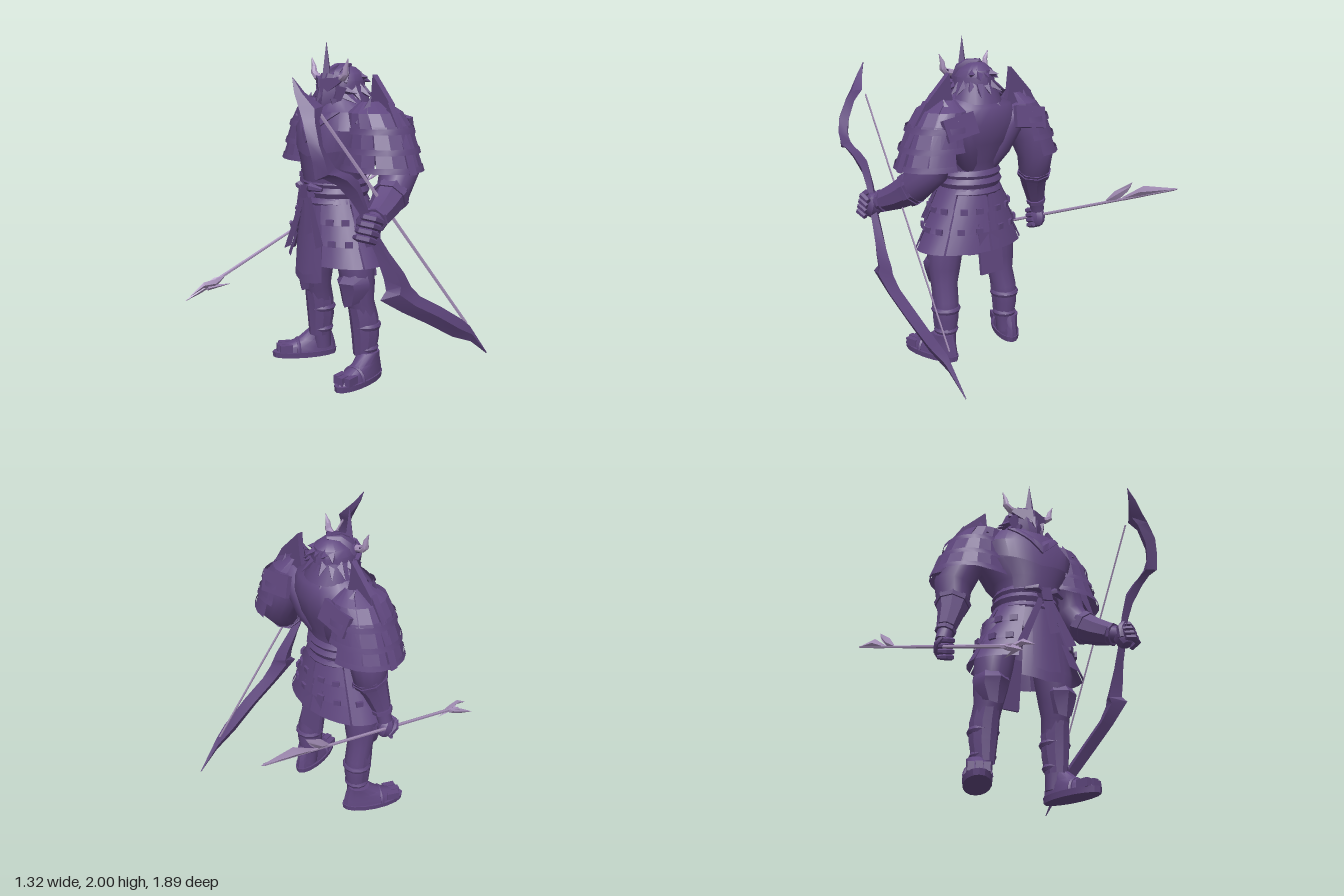
import * as THREE from 'three';
import { toCreasedNormals } from 'three/addons/utils/BufferGeometryUtils.js';

const V = (x, y, z) => new THREE.Vector3(x, y, z);
const D = Math.PI / 180;

export function createModel() {
  const purple = new THREE.MeshStandardMaterial({ color: 0x60477f, side: THREE.DoubleSide });
  const lilac = new THREE.MeshStandardMaterial({ color: 0xa892bb, side: THREE.DoubleSide });
  const root = new THREE.Group();

  function group(name, parent = root) {
    const g = new THREE.Group();
    g.name = name;
    parent.add(g);
    return g;
  }
  function add(parent, name, geo, mat = purple, crease = 0.55) {
    const m = new THREE.Mesh(toCreasedNormals(geo, crease), mat);
    m.name = name;
    parent.add(m);
    return m;
  }
  // Skin over rings of points; closed skins wrap round and get end caps.
  function skin(rings, closed = true) {
    const n = rings[0].length, pos = [], idx = [];
    rings.flat().forEach(p => pos.push(p.x, p.y, p.z));
    const wrap = closed ? n : n - 1;
    for (let i = 0; i < rings.length - 1; i++) for (let j = 0; j < wrap; j++) {
      const a = i * n + j, b = i * n + (j + 1) % n;
      idx.push(a, b, b + n, a, b + n, a + n);
    }
    if (closed) for (let j = 1; j < n - 1; j++) {
      const k = (rings.length - 1) * n;
      idx.push(0, j + 1, j, k, k + j, k + j + 1);
    }
    const g = new THREE.BufferGeometry();
    g.setAttribute('position', new THREE.Float32BufferAttribute(pos, 3));
    g.setIndex(idx);
    g.computeVertexNormals();
    return g;
  }
  // Horizontal ellipses [y, rx, rz, cz, cx], bottom to top; drop lowers the middle of the bottom edge.
  function stack(rows, n = 18, a0 = 0, a1 = 360, drop = 0) {
    const closed = a1 - a0 >= 360;
    return skin(rows.map(([y, rx, rz, cz = 0, cx = 0], i) =>
      Array.from({ length: closed ? n : n + 1 }, (_, j) => {
        const a = (a0 + (a1 - a0) * j / n) * D;
        const dy = i ? 0 : drop * (1 - Math.abs(2 * j / n - 1));
        return V(cx + rx * Math.sin(a), y - dy, cz + rz * Math.cos(a));
      })), closed);
  }
  // Round limb through points [x, y, z, radius].
  function limb(pts, n = 10) {
    const p = pts.map(q => V(q[0], q[1], q[2])), ref = V(0.3, 0, 1);
    return skin(p.map((c, i) => {
      const t = p[Math.min(i + 1, p.length - 1)].clone().sub(p[Math.max(i - 1, 0)]).normalize();
      const u = ref.clone().cross(t).normalize(), v = t.clone().cross(u);
      return Array.from({ length: n }, (_, j) => {
        const a = j / n * 2 * Math.PI, r = pts[i][3];
        return c.clone().addScaledVector(u, r * Math.cos(a)).addScaledVector(v, r * Math.sin(a));
      });
    }));
  }
  const spike = (a, b, r, n = 4) => limb([[...a, r], [...b, 0.001]], n);
  // Upright blade: stations [outer z, outer y, inner z, inner y, x, half thickness].
  const blade = st => skin(st.map(([z1, y1, z2, y2, x, t]) => {
    const z = (z1 + z2) / 2, y = (y1 + y2) / 2;
    return [V(x, y1, z1), V(x + t, y, z), V(x, y2, z2), V(x - t, y, z)];
  }));
  function plate(pts, depth) {
    const s = new THREE.Shape(pts.map(q => new THREE.Vector2(...q)));
    return new THREE.ExtrudeGeometry(s, { depth, bevelEnabled: false }).translate(0, 0, -depth / 2);
  }
  function box(parent, name, size, at, rot = [0, 0, 0]) {
    const m = add(parent, name, new THREE.BoxGeometry(...size));
    m.position.set(...at);
    m.rotation.set(...rot);
    return m;
  }
  const mix = (a, b, t) => a.map((v, i) => v + (b[i] - v) * t);
  const sides = [['left', 1], ['right', -1]];

  // Torso and breastplate
  const torso = group('torso');
  add(torso, 'body', stack([[0.95, .19, .16, .16], [1.15, .18, .165, .165], [1.26, .205, .18, .165], [1.38, .28, .21, .145],
    [1.5, .315, .215, .13], [1.6, .25, .18, .11], [1.66, .13, .13, .12], [1.74, .08, .08, .13]], 22), purple, 0.9);
  const chest = [[1.4, .29, .218, .15], [1.5, .328, .225, .132], [1.6, .258, .192, .116]];
  add(torso, 'breastplate', stack(chest, 12, -62, 62, 0.06));
  add(torso, 'bellyPlate', stack([[1.18, .195, .175, .175], [1.27, .215, .185, .175], [1.38, .285, .208, .155]], 10, -50, 50));
  // A point lying just above the breastplate
  const onChest = (x, y, off) => {
    const k = y < 1.5 ? 0 : 1, [, rx, rz, cz] = mix(chest[k], chest[k + 1], (y - chest[k][0]) / .1);
    return V(x, y, cz + off + rz * Math.sqrt(1 - (x / rx) ** 2));
  };
  for (const [side, s] of sides) {
    const rows = Array.from({ length: 6 }, (_, i) => {
      const t = i / 5, x = t * .18, y = 1.42 + t * .18;
      return [onChest(s * x, y, .004), onChest(s * x, y, .016), onChest(s * x * .8, y + .05 * (1 - t), .018),
        onChest(s * x * .65, y + .085 * (1 - t), .006)];
    });
    add(torso, side + 'CollarFlap', skin(rows, false));
    // Broad back muscle running into the upper arm
    add(torso, side + 'BackMuscle', limb([[s * .06, 1.2, .07, .05], [s * .12, 1.34, .04, .09], [s * .19, 1.47, .03, .1],
      [s * .3, 1.52, .05, .08]], 12), purple, 0.9);
  }

  // Belt, knot and ribbons
  const belt = group('belt');
  for (const [y, r] of [[1.07, .2], [1.13, .198], [1.18, .192]])
    add(belt, 'beltWrap', stack([[y - .03, r, r - .015, .165], [y, r + .014, r, .165], [y + .03, r, r - .015, .165]], 20));
  box(belt, 'knot', [.07, .08, .05], [.01, 1.14, .375], [0, 0, .2]);
  for (const [a, b] of [[[-.02, 1.11], [-.17, .76]], [[.04, 1.11], [.17, .82]], [[.01, 1.1], [.06, .88]]]) {
    const w = .035;
    add(belt, 'ribbon', skin([[V(b[0] - w, b[1], .405), V(b[0] + w, b[1] + .03, .4)],
      [V(a[0] - .02, a[1], .385), V(a[0] + .02, a[1], .385)]], false));
  }
  for (const [, s] of sides)
    add(belt, 'bowLoop', limb([[.01, 1.14, .38, .01], [.01 + .06 * s, 1.17, .39, .025], [.01 + .13 * s, 1.16, .36, .012]], 6));

  // Layered skirt
  const skirt = group('skirt');
  const skirtRow = (y, o) => {
    const t = (1.1 - y) / .38;
    return [y, .2 + .15 * t + o, .185 + .04 * t + o, .165];
  };
  for (let p = 0; p < 6; p++) for (let k = 0; k < 3; k++) {
    const top = 1.1 - k * .12, a = 26 + p * 51.5;
    add(skirt, 'skirtPlate', stack([skirtRow(top - .145, .018), skirtRow(top, 0)], 4, a, a + 49), purple, 0.3);
    if (k < 2) for (const f of [14, 36]) {
      const [y, rx, rz, cz] = skirtRow(top - .13, .018), q = (a + f) * D;
      box(skirt, 'clip', [.045, .035, .016], [rx * Math.sin(q), y, cz + rz * Math.cos(q)], [0, q, 0]);
    }
  }
  add(skirt, 'frontApron', stack([[.61, .28, .235, .165], [.85, .25, .225, .165], [1.08, .2, .19, .165]], 6, -31, 30, .025));
  add(skirt, 'frontFlap', stack([[.66, .28, .245, .165], [1.05, .22, .205, .165]], 4, -18, 20, .02));
  add(skirt, 'backApron', stack([[.7, .3, .225, .165], [1.08, .2, .185, .165]], 5, 150, 210));
  box(skirt, 'backSash', [.17, .32, .02], [0, .73, -.055], [.12, 0, 0]);

  // Legs and sandals
  for (const [side, s] of sides) {
    const leg = group(side + 'Leg');
    leg.scale.x = s;
    leg.position.x = s < 0 ? -.022 : 0;
    add(leg, 'leg', limb([[.225, .06, .1, .055], [.225, .16, .105, .06], [.225, .27, .1, .075], [.222, .37, .11, .08],
      [.212, .48, .14, .083], [.205, .58, .15, .1], [.19, .72, .16, .115], [.14, .98, .165, .11]], 14), purple, 0.9);
    add(leg, 'kneeGuard', stack([[.49, .06, .06, .2, .215], [.57, .1, .115, .165, .215], [.61, .108, .13, .165, .212],
      [.66, .09, .09, .165, .21]], 4, -95, 95, .03));
    add(leg, 'shinGuard', stack([[.15, .062, .07, .12, .225], [.27, .08, .088, .11, .225], [.38, .085, .095, .115, .222],
      [.45, .075, .092, .13, .218]], 6, -105, 105));
    for (const [y, r] of [[.19, .07], [.33, .086]])
      add(leg, 'shinStrap', stack([[y - .018, r, r, .108, .224], [y, r + .008, r + .008, .108, .224], [y + .018, r, r, .108, .224]], 12));
    const foot = group('foot', leg);
    foot.position.set(.23, 0, .04);
    foot.rotation.y = s < 0 ? .42 : .27;
    add(foot, 'sole', stack([[0, .078, .205, .165], [.035, .082, .21, .165]], 16));
    add(foot, 'shoe', stack([[.035, .072, .195, .155], [.07, .068, .18, .145], [.11, .058, .12, .095], [.17, .06, .07, .065]], 14));
    for (let i = 0; i < 3; i++) box(foot, 'toe', [.037, .05, .08], [-.042 + i * .042, .058, .305 - Math.abs(i - 1) * .015]);
    const band = add(foot, 'footStrap', new THREE.TorusGeometry(.07, .013, 6, 12, Math.PI));
    band.position.set(0, .035, .21);
  }

  // Arms: the right hangs down, the left reaches forward to the bow
  const arms = {
    right: [[-.28, 1.54, .06, .11], [-.36, 1.4, .025, .122], [-.415, 1.26, .01, .117], [-.415, 1.15, .02, .1],
      [-.44, 1.05, .05, .07], [-.475, .94, .07, .047], [-.5, .85, .08, .045]],
    left: [[.28, 1.54, .06, .11], [.35, 1.4, .025, .122], [.405, 1.26, .01, .117], [.445, 1.16, .09, .097],
      [.5, 1.09, .2, .075], [.54, 1.05, .28, .058], [.57, 1.03, .34, .05]]
  };
  for (const [side] of sides) {
    const arm = group(side + 'Arm'), p = arms[side];
    add(arm, 'arm', limb(p, 14), purple, 0.9);
    const grow = (q, r) => [q[0], q[1], q[2], q[3] + r];
    add(arm, 'bracer', limb([grow(p[3], .006), grow(p[4], .01), grow(p[5], .012)], 8));
    for (const [i, t] of [[3, .15], [5, .1]])
      add(arm, 'bracerBand', limb([grow(mix(p[i], p[i + 1], t), .016), grow(mix(p[i], p[i + 1], t + .25), .016)], 8));
  }
  for (const [name, at, rot, k] of [['rightHand', [-.505, .8, .085], [.3, 0, .1], 1], ['leftHand', [.58, 1.01, .355], [-.4, .2, 0], 1.2]]) {
    const hand = group(name);
    hand.position.set(...at);
    hand.rotation.set(...rot);
    hand.scale.setScalar(k);
    add(hand, 'palm', new THREE.SphereGeometry(.055, 8, 6).scale(.9, 1.25, 1));
    for (let i = 0; i < 4; i++) {
      const y = .045 - i * .032;
      add(hand, 'finger', limb([[.046, y, -.01, .014], [.044, y, .04, .018], [0, y - .004, .055, .018], [-.04, y - .006, .035, .012]], 6));
    }
    add(hand, 'thumb', limb([[-.035, -.03, .01, .02], [-.045, .02, .03, .02], [-.02, .055, .05, .012]], 6));
  }

  // Layered shoulder guards with fins
  for (const [side, s] of sides) {
    const pad = group(side + 'ShoulderGuard');
    pad.scale.x = s;
    // Each tier: rear limit of the wrap in degrees, then its rows
    const tiers = [
      [205, [[1.5, .2, .195, .06, .29], [1.6, .15, .165, .07, .26], [1.66, .05, .08, .07, .24]]],
      [190, [[1.39, .235, .21, .06, .3], [1.53, .18, .182, .06, .29]]],
      [176, [[1.29, .262, .222, .06, .305], [1.42, .215, .192, .06, .298]]]];
    for (const [rear, rows] of tiers) {
      for (const [a0, a1] of [[-42, 38], [40, 136], [138, rear]])
        add(pad, 'shoulderPlate', stack(rows, 4, a0, a1, .015), purple, 0.2);
      const [y, rx, rz, cz, cx] = rows[0];
      add(pad, 'plateRim', stack([[y - .012, rx + .01, rz + .008, cz, cx], [y + .02, rx, rz, cz, cx]], 14, -42, rear));
    }
    const tall = [[.19, 1.58], [.4, 1.56], [.39, 1.65], [.31, 1.73], [.23, 1.81], [.215, 1.68]];
    const outer = [[.34, 1.52], [.5, 1.42], [.47, 1.53], [.385, 1.66]];
    const low = [[.44, 1.42], [.52, 1.3], [.58, 1.27], [.53, 1.4], [.48, 1.49]];
    for (const [pts, z, d] of [[tall, .05, .035], [outer, .06, .04], [low, .05, .05]])
      add(pad, 'fin', plate(pts, d)).position.z = z;
    add(pad, 'frontFin', spike([.29, 1.53, .2], [.3, 1.69, .13], .055));
    add(pad, 'backFin', spike([.29, 1.53, -.07], [.3, 1.67, 0], .055));
    box(pad, 'backShoulderPlate', [.22, .13, .03], [.26, 1.52, -.11], [.3, 0, -.15]);
  }

  // Head, mask and helmet
  const head = group('head');
  add(head, 'face', limb([[0, 1.52, .24, .015], [0, 1.6, .225, .06], [0, 1.68, .19, .095], [0, 1.78, .15, .1]], 8));
  add(head, 'helmet', stack([[1.71, .125, .14, .11], [1.77, .12, .135, .11], [1.81, .1, .115, .1], [1.845, .055, .065, .09],
    [1.86, .01, .01, .085]], 12));
  for (let i = 0; i < 5; i++) {
    const a = (i - 2) * 32 * D, q = Math.sin(a), c = Math.cos(a);
    add(head, 'helmetRidge', limb([[.122 * q, 1.76, .11 + .135 * c, .012], [.1 * q, 1.815, .1 + .11 * c, .022],
      [.05 * q, 1.85, .09 + .055 * c, .02], [0, 1.862, .05, .008]], 4));
  }
  add(head, 'neckGuard', stack([[1.62, .165, .165, .1], [1.74, .125, .13, .11]], 10, 95, 265));
  add(head, 'crest', new THREE.ConeGeometry(.05, .26, 4).scale(.85, 1, .8)).position.set(0, 1.87, .225);
  add(head, 'nose', spike([0, 1.73, .26], [0, 1.64, .3], .025));
  for (const [side, s] of sides) {
    const g = group(side + 'HeadSide', head);
    g.scale.x = s;
    const brow = add(g, 'brow', plate([[0, -.05], [.06, -.02], [.13, .03], [.165, .075], [.09, .055], [0, .05]], .025));
    brow.position.set(0, 1.735, .27);
    brow.rotation.y = .5;
    add(g, 'horn', limb([[.09, 1.785, .2, .02], [.13, 1.79, .205, .022], [.158, 1.815, .205, .02], [.16, 1.85, .205, .015],
      [.182, 1.9, .205, .002]], 7), lilac, 0.9);
    add(g, 'cheekGuard', spike([.09, 1.74, .19], [.07, 1.56, .23], .045));
    for (const [x, y] of [[.02, 1.51], [.05, 1.54], [.09, 1.57]])
      add(g, 'beard', spike([x * .8, y + .1, .23], [x, y, .26 - x * .3], .024));
    for (let i = 0; i < 3; i++)
      add(g, 'whisker', spike([.09, 1.72 - i * .04, .17], [.17 - i * .01, 1.7 - i * .055, .13], .028));
  }
  for (let i = 0; i < 9; i++) for (const [y, r, fall] of [[1.79, .15, .03], [1.74, .175, .08], [1.68, .165, .11]]) {
    if (y > 1.75 && Math.abs(i - 4) > 2) continue;
    const a = (90 + i * 22.5) * D, k = r + (i % 2) * .02;
    add(head, 'hair', spike([.085 * Math.sin(a), y, .11 + .1 * Math.cos(a)],
      [k * Math.sin(a), y - fall + (i % 3) * .015, .11 + k * Math.cos(a)], .035));
  }

  // Bow and string
  const bow = group('bow');
  add(bow, 'bowLimbs', blade([
    [.72, 1.82, .717, 1.815, .40, .003], [.735, 1.74, .67, 1.74, .44, .02], [.735, 1.65, .59, 1.67, .49, .028],
    [.738, 1.6, .635, 1.6, .52, .033], [.742, 1.5, .645, 1.47, .565, .035], [.725, 1.4, .62, 1.41, .585, .033],
    [.71, 1.305, .585, 1.36, .585, .028], [.66, 1.31, .54, 1.335, .583, .026], [.57, 1.265, .48, 1.315, .58, .025],
    [.48, 1.18, .42, 1.27, .57, .025], [.42, 1.1, .37, 1.14, .57, .025], [.37, .97, .32, 1, .58, .025],
    [.32, .85, .23, .86, .595, .03], [.28, .72, .14, .74, .61, .035], [.265, .655, .11, .69, .61, .035],
    [.31, .61, .09, .65, .615, .035], [.15, .51, .02, .58, .615, .035], [-.05, .4, -.14, .49, .61, .035],
    [-.25, .28, -.33, .37, .595, .028], [-.42, .21, -.41, .31, .58, .018], [-.565, .1, -.57, .105, .57, .003]]), purple, 0.4);
  add(bow, 'bowString', blade([[-.392, .316, -.408, .328, .56, .003], [.608, 1.634, .592, 1.646, .46, .003]]), lilac);

  // Arrow with forked head and feathers
  const arrow = group('arrow');
  add(arrow, 'shaft', limb([[-.65, 1.18, -.93, .008], [-.445, .56, .75, .011]], 6), lilac);
  for (const [x, y] of [[-.47, .46], [-.405, .505]]) {
    const bx = (x - .44) / 2;
    add(arrow, 'arrowProng', blade([[.7, .585, .7, .565, -.44, .006], [.76, .575, .77, .525, bx, .014],
      [.85, y + .065, .85, y + .03, (x + bx) / 2, .012], [.945, y, .945, y - .003, x, .002]]), lilac);
    add(arrow, 'arrowBarb', spike([bx, .53, .82], [x * .5 - .22, y > .5 ? .53 : .585, .665], .018), lilac);
  }
  add(arrow, 'frontFeather', blade([[-.45, 1.02, -.45, 1, -.593, .004], [-.51, 1.085, -.53, 1.025, -.6, .022],
    [-.635, 1.165, -.6, 1.1, -.62, .003]]), lilac);
  add(arrow, 'backFeather', blade([[-.57, 1.06, -.58, 1.04, -.607, .004], [-.72, 1.16, -.7, 1.085, -.622, .026],
    [-.945, 1.187, -.945, 1.18, -.652, .002]]), lilac);
  return root;
}
